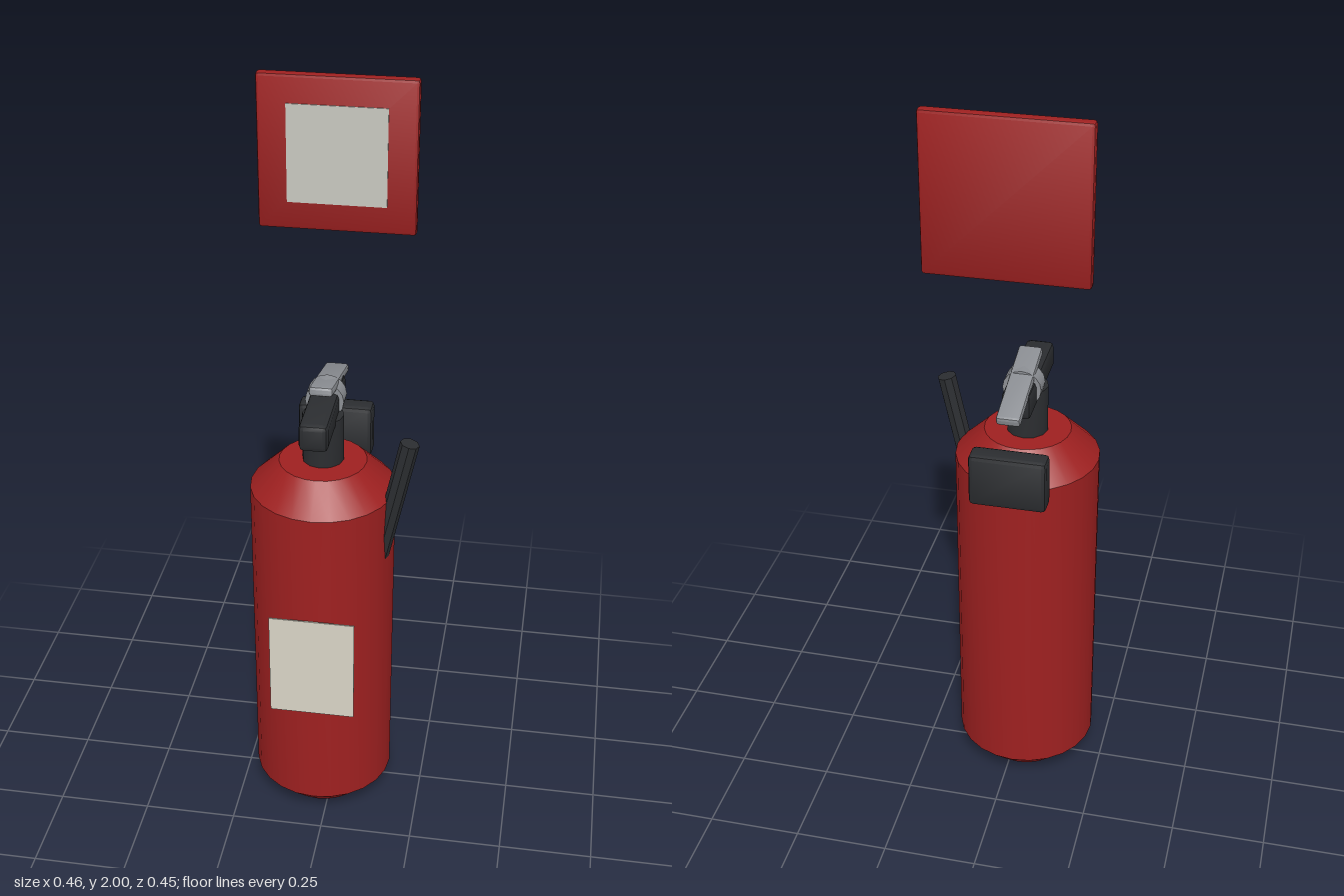
import * as THREE from 'three';
import { toCreasedNormals } from 'three/addons/utils/BufferGeometryUtils.js';
import { RoundedBoxGeometry } from 'three/addons/geometries/RoundedBoxGeometry.js';

const paint = (color) => new THREE.MeshStandardMaterial({ color });
const CX = -0.027, CZ = 0.027; // tank axis

export function createModel() {
  const group = new THREE.Group();
  const red = paint(0x9e2020), black = paint(0x2b2d30), metal = paint(0x8c8f94);
  const paper = paint(0xd8d4c6), panel = paint(0xc8c8c0);

  const add = (name, geometry, material, x, y, z) => {
    const mesh = new THREE.Mesh(geometry, material);
    mesh.name = name;
    mesh.position.set(x, y, z);
    group.add(mesh);
    return mesh;
  };
  // box with a narrow chamfer on every edge
  const bevelBox = (w, h, d, r) => toCreasedNormals(new RoundedBoxGeometry(w, h, d, 1, r), 0.5);
  const cylinder = (r, h, sides) => toCreasedNormals(new THREE.CylinderGeometry(r, r, h, sides), 0.6);

  // pressure tank with sloped shoulder and foot
  const profile = [[0, 0], [0.114, 0], [0.19, 0.077], [0.19, 0.99], [0.114, 1.065], [0, 1.065]]
    .map(([r, y]) => new THREE.Vector2(r, y));
  add('tank', toCreasedNormals(new THREE.LatheGeometry(profile, 24), 0.5), red, CX, 0, CZ);
  add('tankLabel', new THREE.BoxGeometry(0.226, 0.302, 0.004), paper, CX, 0.532, 0.2205);

  // valve, carrying handle and squeeze lever
  add('valveNeck', cylinder(0.054, 0.14, 12), black, CX, 1.125, CZ - 0.004);
  add('handle', bevelBox(0.075, 0.075, 0.298, 0.014), black, CX, 1.206, 0.031);
  add('valveCollar', cylinder(0.05, 0.05, 16), metal, CX, 1.22, -0.023).rotation.x = Math.PI / 2;
  add('lever', bevelBox(0.062, 0.025, 0.275, 0.008), metal, CX, 1.244, -0.072).rotation.x = -0.24;

  // discharge nozzle leaning out of the tank side
  const nozzle = cylinder(0.025, 0.4, 8);
  nozzle.translate(0, -0.2, 0);
  add('nozzle', nozzle, black, 0.203, 1.16, 0.079).rotation.z = -0.21;

  // wall bracket and sign
  add('wallBracket', bevelBox(0.2, 0.145, 0.058, 0.012), black, CX, 1.04, -0.193);
  add('signPlate', bevelBox(0.404, 0.4, 0.03, 0.008), red, CX, 1.8, -0.21);
  add('signPanel', new THREE.BoxGeometry(0.254, 0.254, 0.004), panel, CX, 1.8, -0.1945);

  return group;
}
